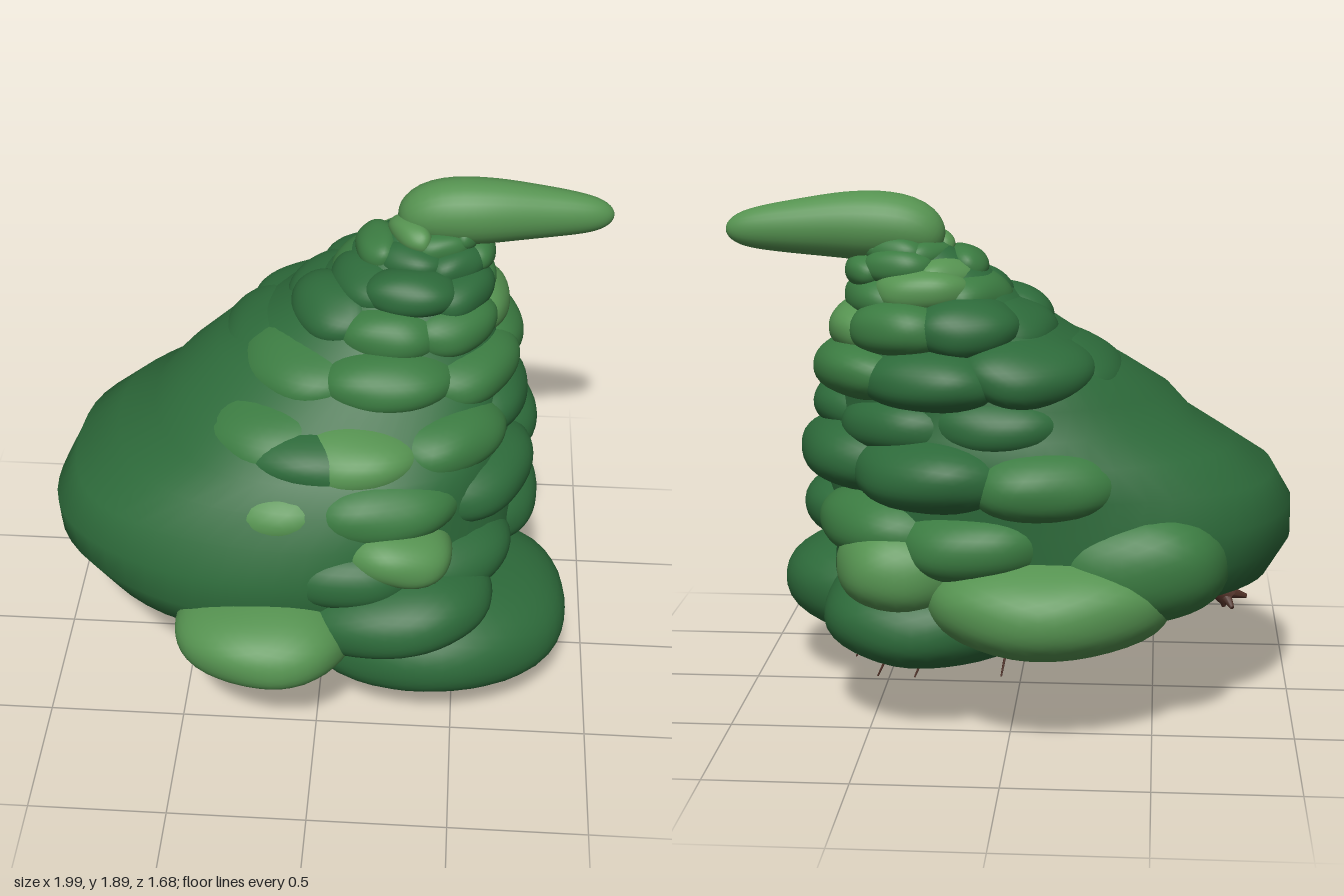
import * as THREE from 'three';
import { mergeVertices } from 'three/addons/utils/BufferGeometryUtils.js';

const mat = (color) => new THREE.MeshStandardMaterial({ color });

export function createModel() {
  const tree = new THREE.Group();
  tree.name = 'leaningTree';
  const greens = [mat(0x2d6a3a), mat(0x3b7b41), mat(0x559250)];
  const bark = mat(0x4f3026);

  // Leaning body of foliage, lofted through [y, xMin, xMax, zMin, zMax]
  const sections = [
    [0.34, -0.01, 0.01, -0.01, 0.01], [0.35, -0.3, 0.4, -0.35, 0.3],
    [0.4, -0.62, 0.62, -0.55, 0.5], [0.5, -0.9, 0.68, -0.65, 0.58],
    [0.62, -0.985, 0.68, -0.67, 0.62], [0.75, -0.995, 0.7, -0.67, 0.62],
    [0.88, -0.93, 0.69, -0.67, 0.58], [0.99, -0.77, 0.69, -0.67, 0.53],
    [1.08, -0.63, 0.67, -0.63, 0.47], [1.18, -0.54, 0.64, -0.6, 0.36],
    [1.28, -0.4, 0.64, -0.6, 0.21], [1.4, -0.2, 0.59, -0.55, 0.1],
    [1.52, -0.02, 0.55, -0.47, 0.02], [1.62, 0.09, 0.52, -0.43, -0.1],
    [1.72, 0.25, 0.47, -0.37, -0.19], [1.76, 0.35, 0.37, -0.29, -0.27],
  ];
  const segs = 56, verts = [], index = [];
  sections.forEach(([y, x0, x1, z0, z1], j) => {
    for (let i = 0; i < segs; i++) {
      const a = (i / segs) * Math.PI * 2;
      const c = Math.cos(a), s = Math.sin(a);
      const f = (1 + 0.012 * Math.sin(5 * a + 9 * y)) / (Math.abs(c) ** 2.2 + Math.abs(s) ** 2.2) ** (1 / 2.2);
      verts.push((x0 + x1) / 2 + c * f * (x1 - x0) / 2, y, (z0 + z1) / 2 + s * f * (z1 - z0) / 2);
      if (j === 0) continue;
      const n = (i + 1) % segs, lo = (j - 1) * segs, hi = j * segs;
      index.push(lo + i, hi + i, lo + n, lo + n, hi + i, hi + n);
    }
  });
  const bodyGeo = new THREE.BufferGeometry();
  bodyGeo.setAttribute('position', new THREE.Float32BufferAttribute(verts, 3));
  bodyGeo.setIndex(index);
  bodyGeo.computeVertexNormals();
  const body = new THREE.Mesh(bodyGeo, greens[0]);
  body.name = 'foliageBody';
  tree.add(body);

  // Shared rounded form, bulkier than a sphere
  const base = new THREE.IcosahedronGeometry(1, 7);
  base.deleteAttribute('uv');
  base.deleteAttribute('normal');
  const ball = mergeVertices(base, 1e-4);
  let count = 0;

  // One leaf clump: centre, radii, shade, turn about y, lean about z
  function clump(name, c, r, shade, turn = 0, lean = 0) {
    const g = ball.clone();
    const p = g.attributes.position;
    const v = new THREE.Vector3();
    const s = ++count * 1.7;
    const k = 2.25;
    for (let i = 0; i < p.count; i++) {
      v.fromBufferAttribute(p, i);
      const sum = Math.abs(v.x) ** k + Math.abs(v.y) ** k + Math.abs(v.z) ** k;
      const wobble = 1 + 0.035 * Math.sin(4 * v.x + s) * Math.sin(3 * v.z - s + 2 * v.y);
      v.multiplyScalar(wobble / sum ** (1 / k));
      p.setXYZ(i, v.x * r[0], v.y * r[1], v.z * r[2]);
    }
    g.computeVertexNormals();
    const m = new THREE.Mesh(g, greens[shade]);
    m.name = name;
    m.position.set(...c);
    m.rotation.set(0, turn, lean);
    tree.add(m);
  }

  // Large lower clumps
  clump('lowerLeftLobe', [0.41, 0.36, 0.2], [0.49, 0.22, 0.42], 0, 0.12);
  clump('lowerBackLeftLobe', [0.3, 0.4, -0.3], [0.38, 0.19, 0.38], 0, 0.2);
  clump('underside', [0.2, 0.42, -0.08], [0.45, 0.19, 0.5], 0);
  clump('frontLightLobe', [-0.18, 0.52, 0.55], [0.32, 0.15, 0.28], 2);
  clump('frontUnderLobe', [-0.12, 0.46, 0.36], [0.3, 0.16, 0.28], 0);
  clump('frontDarkLobe', [0.26, 0.59, 0.46], [0.36, 0.15, 0.26], 0, 0, 0.15);
  clump('frontLightPatch', [0.28, 0.82, 0.45], [0.2, 0.11, 0.17], 2, 0, -0.1);
  clump('backLightLobe', [-0.14, 0.5, -0.5], [0.42, 0.19, 0.33], 2, 0.1);
  clump('backLeftLightLobe', [0.36, 0.6, -0.46], [0.25, 0.17, 0.23], 2, 0.5);
  clump('backRightLobe', [-0.38, 0.63, -0.4], [0.38, 0.23, 0.3], 1, -0.3);
  clump('upperFrontLobe', [0, 1.09, 0.24], [0.3, 0.12, 0.22], 0);

  // Stacked tiers: [xMin, xMax, zMin, zMax, y, half height, clumps, turn]
  const tiers = [
    [-0.55, 0.78, -0.73, 0.64, 0.72, 0.14, 8, 0.0],
    [-0.7, 0.79, -0.76, 0.57, 0.95, 0.14, 8, 0.35],
    [-0.58, 0.73, -0.66, 0.46, 1.11, 0.12, 8, 0.1],
    [-0.4, 0.72, -0.68, 0.25, 1.28, 0.11, 7, 0.4],
    [-0.16, 0.65, -0.61, 0.12, 1.43, 0.1, 7, 0.15],
    [0.0, 0.6, -0.51, 0.04, 1.54, 0.08, 6, 0.5],
    [0.09, 0.59, -0.46, -0.08, 1.62, 0.065, 6, 0.2],
    [0.21, 0.53, -0.42, -0.13, 1.68, 0.055, 5, 0.0],
  ];
  tiers.forEach(([x0, x1, z0, z1, y, h, n, turn], t) => {
    const cx = (x0 + x1) / 2, cz = (z0 + z1) / 2;
    const rx = (x1 - x0) / 2, rz = (z1 - z0) / 2;
    const mean = (rx + rz) / 2;
    for (let i = 0; i < n; i++) {
      const a = turn + (i / n) * Math.PI * 2;
      // Clumps on the long sloping side droop outward
      const drape = Math.max(0, -Math.cos(a));
      const lean = -0.5 * drape;
      const long = mean * 0.36;
      const reach = Math.hypot(long * Math.cos(lean), h * Math.sin(lean));
      const across = (3.4 / n) * mean;
      const shade = [0, 1, 0, 1, 2, 0, 1, 1][(i * 3 + t * 5) % 8];
      const lift = 0.018 * Math.sin(i * 2.4 + t);
      const c = [cx + Math.cos(a) * (rx - reach), y + lift, cz - Math.sin(a) * (rz - reach)];
      clump('tierClump', c, [long, h, across], shade, a, lean);
    }
  });

  // Bent horn-like tip, lofted along a curve with rounded ends
  const path = new THREE.CatmullRomCurve3([
    [0.25, 1.69, -0.29], [0.36, 1.75, -0.285], [0.54, 1.765, -0.285],
    [0.78, 1.76, -0.3], [1.0, 1.75, -0.31],
  ].map((q) => new THREE.Vector3(...q)));
  const tip = new THREE.SphereGeometry(1, 28, 32);
  const tp = tip.attributes.position;
  const side = new THREE.Vector3(0, 0, 1);
  for (let i = 0; i < tp.count; i++) {
    const u = THREE.MathUtils.clamp((1 - tp.getY(i)) / 2, 0, 1);
    const w = THREE.MathUtils.lerp(0.122, 0.083, THREE.MathUtils.smoothstep(u, 0.3, 0.9));
    const c = path.getPointAt(u);
    const up = new THREE.Vector3().crossVectors(side, path.getTangentAt(u)).normalize();
    const round = Math.sqrt(Math.max(0, 1 - Math.abs(2 * u - 1) ** 4.2));
    const ring = Math.hypot(tp.getX(i), tp.getZ(i)) || 1;
    c.addScaledVector(up, (tp.getX(i) / ring) * w * round);
    c.addScaledVector(side, (tp.getZ(i) / ring) * w * round * (1 - 0.15 * u));
    tp.setXYZ(i, c.x, c.y, c.z);
  }
  tip.deleteAttribute('uv');
  tip.deleteAttribute('normal');
  const tipGeo = mergeVertices(tip, 1e-4);
  tipGeo.computeVertexNormals();
  const tipMesh = new THREE.Mesh(tipGeo, greens[2]);
  tipMesh.name = 'bentTip';
  tree.add(tipMesh);

  // Tapered wooden piece between two points
  function stick(name, a, b, r0, r1, sides = 6) {
    const p = new THREE.Vector3(...a), q = new THREE.Vector3(...b);
    const d = q.clone().sub(p);
    const m = new THREE.Mesh(new THREE.CylinderGeometry(r1, r0, d.length(), sides), bark);
    m.name = name;
    m.position.copy(p).add(q).multiplyScalar(0.5);
    m.quaternion.setFromUnitVectors(new THREE.Vector3(0, 1, 0), d.normalize());
    tree.add(m);
  }

  // Trunk stub with splayed roots
  stick('trunk', [-0.6, 0.52, 0.03], [-0.78, 0.35, 0.03], 0.05, 0.045, 10);
  for (const [x, y, z] of [[-0.845, 0.35, 0.03], [-0.76, 0.305, 0.04], [-0.79, 0.325, 0.1], [-0.79, 0.325, -0.04]]) {
    stick('root', [-0.755, 0.37, 0.03], [x, y, z], 0.03, 0.008);
  }

  // Bare twigs poking out below
  stick('twig', [0.52, 0.19, 0.21], [0.66, 0.0, 0.245], 0.007, 0.003);
  stick('twig', [0.44, 0.24, -0.2], [0.51, 0.09, -0.215], 0.007, 0.003);
  stick('twig', [0.3, 0.28, -0.46], [0.34, 0.19, -0.49], 0.006, 0.003);
  stick('twig', [0.0, 0.37, -0.6], [0.02, 0.26, -0.65], 0.006, 0.003);
  stick('twig', [-0.15, 0.42, 0.6], [-0.16, 0.34, 0.66], 0.006, 0.003);
  return tree;
}
